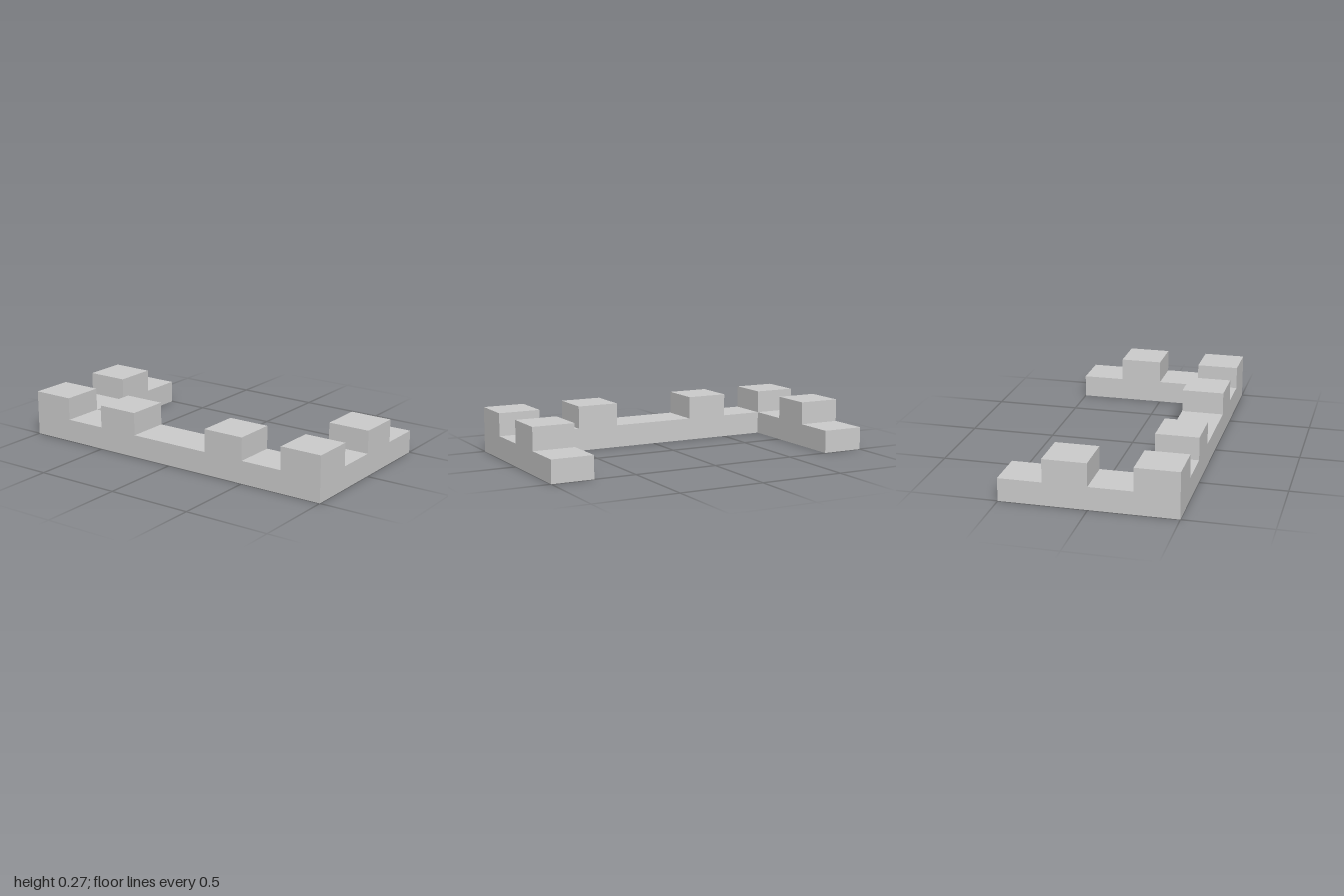
import * as THREE from 'three';

const UNIT = 0.25;      // wall thickness and merlon width
const BASE_H = 0.133;   // height of the low wall
const TOP_H = 0.267;    // height of the merlons

export function createModel() {
  const group = new THREE.Group();
  group.name = 'battlement';
  const material = new THREE.MeshStandardMaterial({ color: 0xcccccc, flatShading: true });

  // C-shaped low wall, open towards +x
  const plan = new THREE.Shape([
    [-0.5, -1], [0.5, -1], [0.5, -0.75], [-0.25, -0.75],
    [-0.25, 0.75], [0.5, 0.75], [0.5, 1], [-0.5, 1],
  ].map(([x, y]) => new THREE.Vector2(x, y)));
  const wallGeometry = new THREE.ExtrudeGeometry(plan, { depth: BASE_H, bevelEnabled: false });
  wallGeometry.rotateX(-Math.PI / 2);
  const wall = new THREE.Mesh(wallGeometry, material);
  wall.name = 'lowWall';
  group.add(wall);

  // Merlons: corner, arm and long-wall blocks, mirrored front to back
  const merlonGeometry = new THREE.BoxGeometry(UNIT, TOP_H - BASE_H, UNIT);
  const merlons = [
    ['cornerMerlon', -0.375, 0.875],
    ['armMerlon', 0.125, 0.875],
    ['longWallMerlon', -0.375, 0.375],
  ];
  for (const [name, x, z] of merlons) {
    for (const side of [1, -1]) {
      const merlon = new THREE.Mesh(merlonGeometry, material);
      merlon.name = name + (side > 0 ? 'Front' : 'Back');
      merlon.position.set(x, (BASE_H + TOP_H) / 2, z * side);
      group.add(merlon);
    }
  }
  return group;
}
